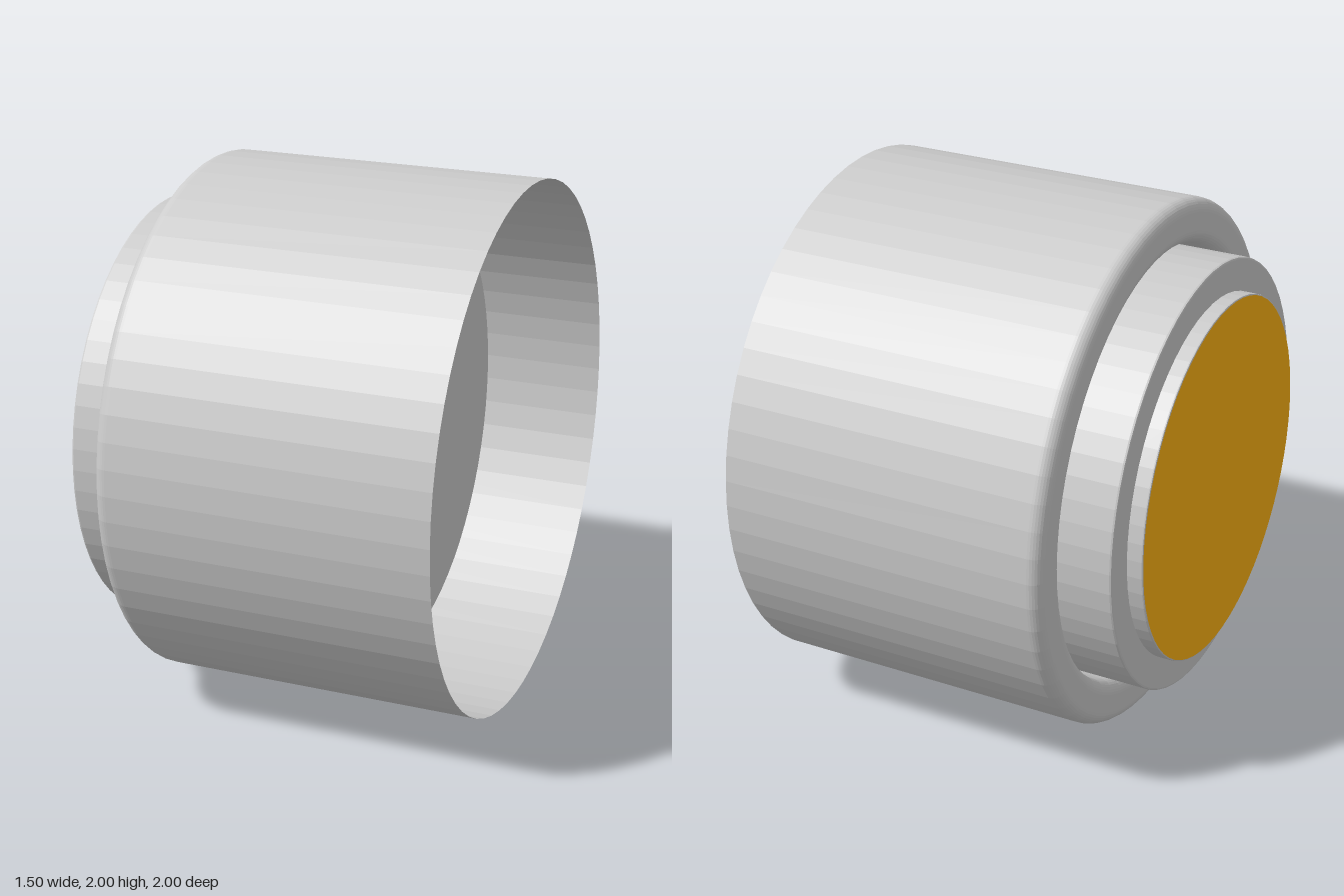
import * as THREE from 'three';

const SEGMENTS = 64;
const grey = new THREE.MeshStandardMaterial({ color: 0xcccccc, flatShading: true, side: THREE.DoubleSide });
const amber = new THREE.MeshStandardMaterial({ color: 0xffb414 });

// Revolves a profile of [radius, x] pairs around the x axis
function turned(name, profile) {
  const points = profile.map(([r, x]) => new THREE.Vector2(r, x));
  const geometry = new THREE.LatheGeometry(points, SEGMENTS).rotateZ(-Math.PI / 2);
  const mesh = new THREE.Mesh(geometry, grey);
  mesh.name = name;
  return mesh;
}

// Quarter-round in the profile, from angle a to angle b
function round(r, x, radius, a, b, steps = 8) {
  return Array.from({ length: steps + 1 }, (_, i) => {
    const t = a + ((b - a) * i) / steps;
    return [r + radius * Math.cos(t), x + radius * Math.sin(t)];
  });
}

export function createModel() {
  const model = new THREE.Group();
  model.name = 'cap';
  const body = new THREE.Group();
  body.name = 'body';
  body.position.y = 1;
  model.add(body);

  // Thin shell: recessed floor, inner tube, rounded rim, open outer wall
  body.add(turned('shell', [
    [0, 0.33],
    [0.83, 0.33],
    ...round(0.88, -0.46, 0.05, -Math.PI, -Math.PI / 2),
    ...round(0.95, -0.46, 0.05, -Math.PI / 2, 0),
    [1, 0.75],
  ]));

  // Plug set into the inner tube, standing out of the rim
  body.add(turned('plug', [
    [0, -0.69], [0.807, -0.69], [0.813, -0.688], [0.815, -0.682], [0.815, 0.32], [0, 0.32],
  ]));

  // Raised step on the plug
  body.add(turned('step', [
    [0.684, -0.75], [0.689, -0.748], [0.69, -0.744], [0.69, -0.68],
  ]));

  // Coloured end face
  const face = new THREE.Mesh(new THREE.CircleGeometry(0.685, SEGMENTS).rotateY(-Math.PI / 2), amber);
  face.name = 'endFace';
  face.position.x = -0.75;
  body.add(face);

  return model;
}
